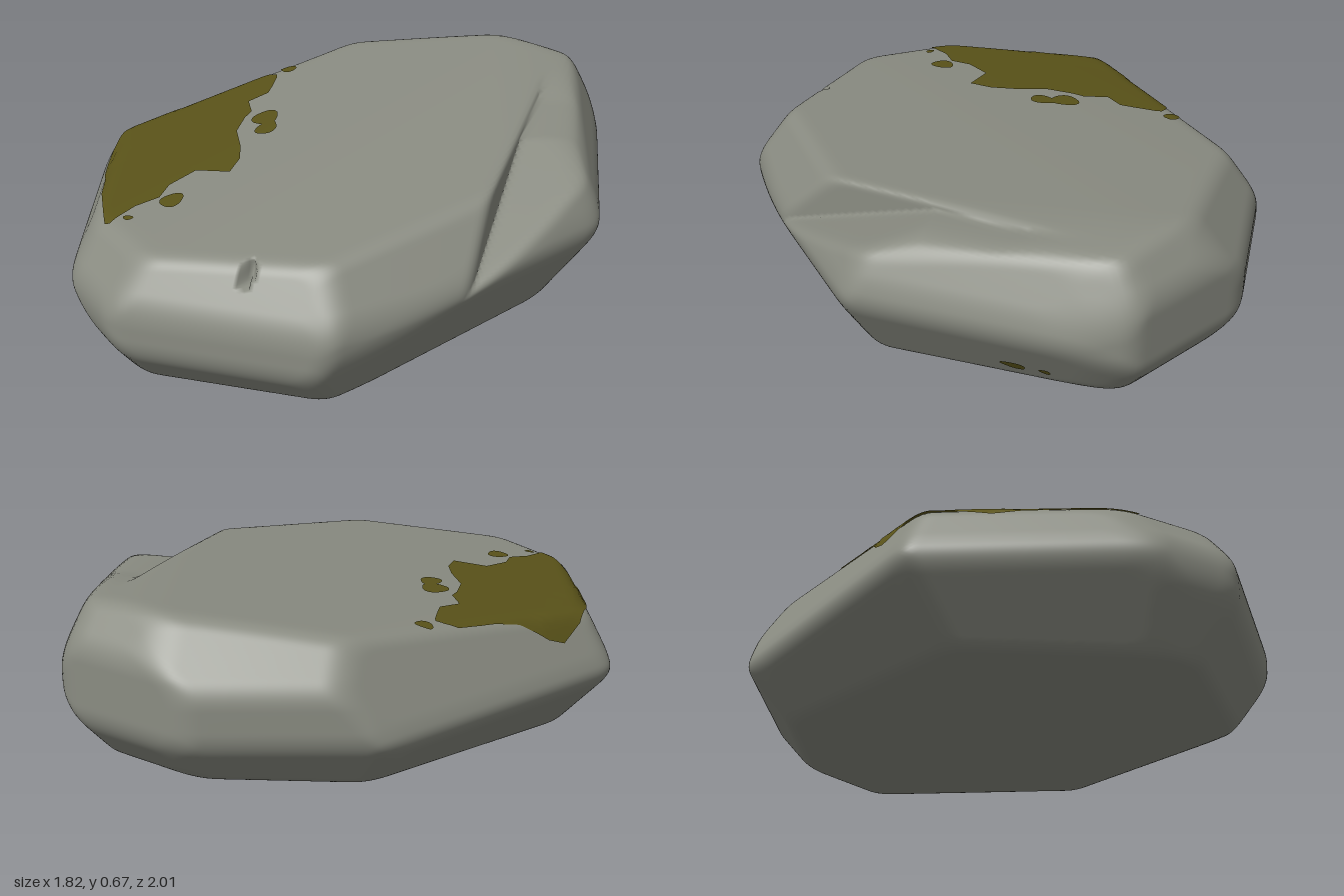
import * as THREE from 'three';
import { mergeVertices } from 'three/addons/utils/BufferGeometryUtils.js';

const V = (x, y, z) => new THREE.Vector3(x, y, z);
const CENTRE = V(0, 0.31, 0);

// Widest outline seen from above, one row per side facet that starts at x, z:
// x, z, wall bottom, wall top, inset of the lower bevel, inset of the upper bevel
const SIDES = [
  [-0.455, -0.76, 0.28, 0.46, 0.15, 0.15],
  [0.12, -1.01, 0.27, 0.53, 0.13, 0.11],
  [0.6, -0.91, 0.3, 0.48, 0.14, 0.1],
  [0.7, -0.77, 0.37, 0.42, 0.18, 0.11],
  [0.925, -0.04, 0.36, 0.4, 0.17, 0.1],
  [0.665, 0.49, 0.24, 0.36, 0.11, 0.14],
  [0.36, 0.895, 0.17, 0.33, 0.14, 0.11],
  [-0.35, 1.012, 0.2, 0.32, 0.14, 0.13],
  [-0.62, 0.84, 0.27, 0.29, 0.18, 0.105],
  [-0.93, 0.15, 0.27, 0.29, 0.19, 0.15],
];
const topY = (x, z) => 0.575 + 0.055 * x - 0.085 * z;
const botY = (x, z) => 0.052 + 0.025 * x - 0.062 * z;

// Half-spaces that chisel the stone
const planes = [];
const addPlane = (n, p) => { n.normalize(); planes.push({ n, d: n.dot(p) }); };
addPlane(V(-0.055, 1, 0.085), V(0, topY(0, 0), 0));
addPlane(V(0.025, -1, -0.062), V(0, botY(0, 0), 0));
addPlane(V(-0.13, 1, 0.057), V(0, 0.594, 0)); // top falls away to the right
addPlane(V(0.15, 1, 0), V(0.5, 0.656, 0)); // and gently to the back left
addPlane(V(0.48, 1, 0), V(0.8, 0.572, 0)); // worn left shoulder
SIDES.forEach(([x, z, lo, hi, inLo, inHi], i) => {
  const [x2, z2] = SIDES[(i + 1) % SIDES.length];
  const n = V(z - z2, 0, x2 - x).normalize();
  if (n.x * x + n.z * z < 0) n.negate();
  const mx = (x + x2) * 0.45, mz = (z + z2) * 0.45;
  const up = topY(mx, mz) - hi, down = lo - botY(mx, mz);
  addPlane(n.clone(), V(x, 0, z));
  addPlane(V(n.x * up, inHi, n.z * up), V(x, hi, z));
  addPlane(V(n.x * down, -inLo, n.z * down), V(x, lo, z));
});

const smax = (a, b, k) => {
  const h = Math.max(k - Math.abs(a - b), 0) / k;
  return Math.max(a, b) + h * h * k * 0.25;
};

// Negative inside the stone
function field(p) {
  let f = -10;
  for (const { n, d } of planes) f = smax(f, n.dot(p) - d, 0.035);
  // broken ledge along the left edge of the top, fading out towards the back
  if (p.x > 0.3) {
    const wall = p.x - (0.603 + 0.11 * p.z);
    const shelf = p.y - Math.min(0.53 - 0.37 * p.z - 0.04 * (p.x - 0.61),
      topY(p.x, p.z) - 0.03 + Math.max(0, -0.45 - p.z) * 0.15);
    f = smax(f, Math.min(wall, shelf), 0.025);
  }
  // small nick on the front lip
  const nick = Math.hypot((p.x - 0.06) / 0.022, (p.y - 0.49) / 0.06, (p.z - 0.86) / 0.065);
  return Math.max(f, (1 - nick) * 0.03);
}

// Surface point along a ray, by bisection
function hit(from, dir) {
  let a = 0, b = 1.6;
  for (let i = 0; i < 24; i++) {
    const m = (a + b) / 2;
    if (field(from.clone().addScaledVector(dir, m)) < 0) a = m; else b = m;
  }
  return from.clone().addScaledVector(dir, a);
}

function rockGeometry() {
  let g = new THREE.IcosahedronGeometry(1, 60);
  g.deleteAttribute('normal');
  g.deleteAttribute('uv');
  g = mergeVertices(g, 1e-5);
  const pos = g.attributes.position;
  for (let i = 0; i < pos.count; i++) {
    const dir = V(pos.getX(i) * 0.9, pos.getY(i) * 0.42, pos.getZ(i)).normalize();
    const p = hit(CENTRE, dir);
    pos.setXYZ(i, p.x, p.y, p.z);
  }
  g.computeVertexNormals();
  return g;
}

// Thin skin: a grid of surface points, point(u, v) for u, v from 0 to 1
function skin(point, nu, nv) {
  const pts = [], idx = [];
  for (let j = 0; j <= nv; j++) for (let i = 0; i <= nu; i++) {
    pts.push(...point(i / nu, j / nv).toArray());
    if (i < nu && j < nv) {
      const a = j * (nu + 1) + i, b = a + nu + 1;
      idx.push(a, b, a + 1, b, b + 1, a + 1);
    }
  }
  const g = new THREE.BufferGeometry();
  g.setAttribute('position', new THREE.Float32BufferAttribute(pts, 3));
  g.setIndex(idx);
  g.computeVertexNormals();
  return g;
}
const LIFT = 0.005;
const onTop = (x, z) => hit(V(x, 0.3, z), V(0, 1, 0)).add(V(x < -0.7 ? -LIFT : 0, LIFT, 0));
const onSide = (y, z) => hit(V(0, y, z), V(1, 0, 0)).add(V(LIFT, -LIFT / 2, 0));

// Large moss patch: z, right edge x, inner edge x
const MOSS = [
  [-0.35, -0.48, -0.45], [-0.33, -0.52, -0.44], [-0.25, -0.57, -0.42], [-0.2, -0.6, -0.41],
  [-0.12, -0.66, -0.45], [-0.05, -0.74, -0.4], [0, -0.78, -0.4], [0.1, -0.805, -0.38],
  [0.2, -0.8, -0.31], [0.28, -0.78, -0.27], [0.37, -0.75, -0.26], [0.39, -0.74, -0.38],
  [0.5, -0.68, -0.42], [0.58, -0.64, -0.41], [0.65, -0.59, -0.46], [0.72, -0.54, -0.48],
  [0.76, -0.51, -0.49],
];
function mossPoint(u, v) {
  const t = v * (MOSS.length - 1), i = Math.min(Math.floor(t), MOSS.length - 2);
  const [z, l, r] = MOSS[i].map((a, k) => a + (MOSS[i + 1][k] - a) * (t - i));
  return onTop(l + (r - l) * u, z);
}
const spot = (place, a, b, ra, rb) => skin((u, v) => {
  const t = -u * Math.PI * 2, w = 1 + 0.08 * Math.sin(3 * t + a * 20);
  return place(a + ra * v * w * Math.cos(t), b + rb * v * w * Math.sin(t));
}, 24, 3);

export function createModel() {
  const stone = new THREE.MeshStandardMaterial({ color: 0x8a8c82 });
  stone.name = 'grey stone';
  const moss = new THREE.MeshStandardMaterial({ color: 0x5a5319, side: THREE.DoubleSide });
  moss.name = 'olive moss';

  const group = new THREE.Group();
  group.name = 'mossyRock';
  const add = (name, geometry, material) => {
    const mesh = new THREE.Mesh(geometry, material);
    mesh.name = name;
    group.add(mesh);
  };
  add('stone', rockGeometry(), stone);
  add('mossPatch', skin(mossPoint, 20, 80), moss);
  // loose moss spots on the top: x, z, radii
  [[-0.43, -0.405, 0.03, 0.028], [-0.325, -0.015, 0.045, 0.055], [-0.285, 0.055, 0.035, 0.05],
    [-0.36, 0.585, 0.037, 0.045], [-0.445, 0.72, 0.018, 0.013]]
    .forEach(s => add('mossSpot', spot(onTop, ...s), moss));
  // moss spots low on the left side: y, z, radii
  [[0.195, -0.515, 0.02, 0.04], [0.195, -0.615, 0.014, 0.018]]
    .forEach(s => add('sideMossSpot', spot(onSide, ...s), moss));
  return group;
}
